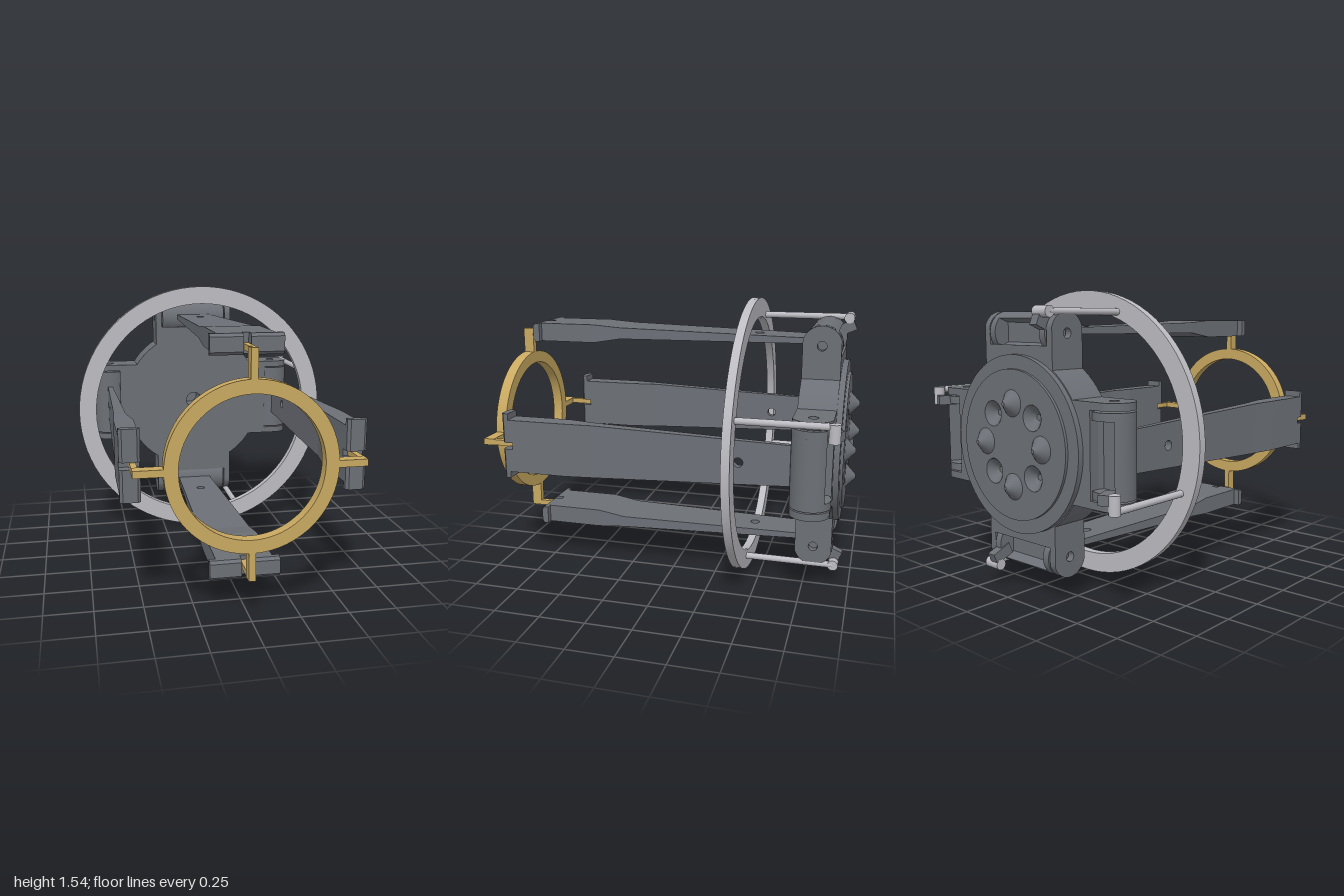
import * as THREE from 'three';
import { toCreasedNormals } from 'three/addons/utils/BufferGeometryUtils.js';

const material = (name, color, side = THREE.FrontSide) => {
  const m = new THREE.MeshStandardMaterial({ color, side });
  m.name = name;
  return m;
};

const CENTRE_Y = 0.773;
const HINGE_R = 0.555, HINGE_Z = -0.8;

function add(parent, name, geometry, mat) {
  const mesh = new THREE.Mesh(geometry, mat);
  mesh.name = name;
  parent.add(mesh);
  return mesh;
}

function circlePath(x, y, r) {
  const p = new THREE.Path();
  p.absarc(x, y, r, 0, Math.PI * 2, true);
  return p;
}

function polygon(points) {
  return new THREE.Shape(points.map(([x, y]) => new THREE.Vector2(x, y)));
}

function extrude(shape, depth, curveSegments = 24) {
  return new THREE.ExtrudeGeometry(shape, { depth, bevelEnabled: false, curveSegments });
}

// Round plate across the z axis; holes are [x, y, radius]
function disc(r, z0, z1, holes = []) {
  const s = new THREE.Shape();
  s.absarc(0, 0, r, 0, Math.PI * 2, false);
  holes.forEach(([x, y, hr]) => s.holes.push(circlePath(x, y, hr)));
  return toCreasedNormals(extrude(s, z1 - z0, 40).translate(0, 0, z0), 0.5);
}

// Profile drawn in (-z, y), extruded along x
function alongX(shape, x0, x1) {
  const g = extrude(shape, x1 - x0).rotateY(Math.PI / 2).translate(x0, 0, 0);
  return toCreasedNormals(g, 0.5);
}

// Plan drawn in (x, -z); the inner and outer faces slope from z0 to z1
function slab(shape, z0, z1, [lo0, hi0], [lo1, hi1]) {
  const g = extrude(shape, 1).rotateX(-Math.PI / 2);
  const p = g.attributes.position;
  for (let i = 0; i < p.count; i++) {
    const t = (p.getZ(i) - z0) / (z1 - z0);
    const lo = lo0 + (lo1 - lo0) * t, hi = hi0 + (hi1 - hi0) * t;
    p.setY(i, lo + (hi - lo) * p.getY(i));
  }
  g.computeVertexNormals();
  return toCreasedNormals(g, 0.3);
}

const trapezoid = (z0, w0, z1, w1) =>
  polygon([[-w0, -z0], [w0, -z0], [w1, -z1], [-w1, -z1]]);

// Arm: slotted tip, thick block, wedge and long tapered blade
function buildArm(dark) {
  const arm = new THREE.Group();
  arm.name = 'arm';
  const block = polygon([
    [-0.145, -0.82], [-0.018, -0.82], [-0.018, -0.8], [0.018, -0.8],
    [0.018, -0.82], [0.145, -0.82], [0.145, -0.5], [-0.145, -0.5],
  ]);
  add(arm, 'armBlock', slab(block, 0.5, 0.82, [0.51, 0.612], [0.51, 0.612]), dark);
  add(arm, 'armWedge', slab(trapezoid(0.5, 0.145, 0.34, 0.143), 0.5, 0.34,
    [0.51, 0.612], [0.537, 0.6]), dark);
  const blade = trapezoid(0.34, 0.143, -0.74, 0.105);
  blade.holes.push(circlePath(0, 0.435, 0.025));
  add(arm, 'armBlade', slab(blade, 0.34, -0.74, [0.537, 0.6], [0.545, 0.575]), dark);
  const tip = polygon([
    [-0.858, 0.525], [-0.845, 0.51], [-0.82, 0.51],
    [-0.82, 0.612], [-0.845, 0.612], [-0.858, 0.597],
  ]);
  add(arm, 'armTip', alongX(tip, -0.18, -0.018), dark);
  add(arm, 'armTip', alongX(tip, 0.018, 0.18), dark);
  return arm;
}

// Hinge: lug base, two rounded ears and a barrel with a pocket at the back
function buildHinge(dark) {
  const hinge = new THREE.Group();
  hinge.name = 'hinge';
  const u = -HINGE_Z;
  add(hinge, 'lugBase', new THREE.BoxGeometry(0.5, 0.19, 0.2).translate(0, 0.4, -0.8), dark);
  const ear = new THREE.Shape();
  ear.moveTo(0.7, 0.36);
  ear.lineTo(0.9, 0.36);
  ear.lineTo(0.9, HINGE_R);
  ear.absarc(u, HINGE_R, 0.105, 0.3, Math.PI - 0.3, false);
  ear.lineTo(0.7, HINGE_R);
  ear.holes.push(circlePath(u, HINGE_R, 0.025));
  const end = new THREE.Shape();
  end.absarc(u, HINGE_R, 0.105, 0, Math.PI * 2, false);
  const middle = new THREE.Shape();
  middle.absarc(u, HINGE_R, 0.105, 0.75, Math.PI * 2 - 0.75, false);
  middle.lineTo(u + 0.02, HINGE_R - 0.05);
  middle.lineTo(u + 0.02, HINGE_R + 0.05);
  for (const s of [-1, 1]) {
    const a = s * 0.212, b = s * 0.25, c = s * 0.165, d = s * 0.205;
    add(hinge, 'hingeEar', alongX(ear, Math.min(a, b), Math.max(a, b)), dark);
    add(hinge, 'barrelEnd', alongX(end, Math.min(c, d), Math.max(c, d)), dark);
  }
  add(hinge, 'barrel', alongX(middle, -0.165, 0.165), dark);
  return hinge;
}

// Push rod from the large ring to a crank on the barrel
function buildLinkage(dark, light) {
  const link = new THREE.Group();
  link.name = 'linkage';
  const crank = add(link, 'crank', new THREE.BoxGeometry(0.05, 0.06, 0.11), dark);
  crank.position.set(-0.182, 0.602, -0.895);
  crank.rotation.x = Math.atan2(0.045, 0.105);
  add(link, 'crankPin', new THREE.CylinderGeometry(0.029, 0.029, 0.095, 20)
    .rotateZ(Math.PI / 2).translate(-0.203, 0.658, -0.912), light);
  add(link, 'pushRod', new THREE.CylinderGeometry(0.018, 0.018, 0.49, 16)
    .rotateX(Math.PI / 2).translate(-0.235, 0.658, -0.665), light);
  return link;
}

// Spoke of the front ring with a pin reaching into the arm slot
function buildSpoke(gold) {
  const spoke = new THREE.Group();
  spoke.name = 'spoke';
  add(spoke, 'spokeBar', new THREE.BoxGeometry(0.035, 0.155, 0.06).translate(0, 0.485, 0.97), gold);
  add(spoke, 'spokePin', new THREE.BoxGeometry(0.03, 0.03, 0.15).translate(0, 0.548, 0.875), gold);
  return spoke;
}

export function createModel() {
  const dark = material('dark grey', 0x6c7076);
  const darkOpen = dark;
  darkOpen.side = THREE.DoubleSide;
  const light = material('light grey', 0xbcbcc2);
  const gold = material('gold', 0xc9a961);

  const model = new THREE.Group();
  model.name = 'gripper';
  const body = new THREE.Group();
  body.name = 'body';
  body.position.y = CENTRE_Y;
  model.add(body);

  // Rings
  add(body, 'largeRing', disc(0.772, -0.43, -0.385, [[0, 0, 0.667]]), light);
  add(body, 'frontRing', disc(0.42, 0.94, 1, [[0, 0, 0.352]]), gold);

  // Hub with stepped back plate and cone sockets
  const sockets = [0, 1, 2, 3].map((i) => {
    const a = Math.PI / 4 + (i * Math.PI) / 2;
    return [0.21 * Math.cos(a), 0.21 * Math.sin(a), 0.065];
  });
  add(body, 'hub', disc(0.456, -0.9, -0.7, [[0, 0, 0.05]]), dark);
  add(body, 'backFlange', disc(0.45, -0.93, -0.9, sockets), dark);
  add(body, 'backPlate', disc(0.38, -0.945, -0.93, sockets), dark);
  for (const [x, y, r] of sockets) {
    add(body, 'socket', new THREE.CylinderGeometry(0.015, r, 0.045, 24, 1, true)
      .rotateX(Math.PI / 2).translate(x, y, -0.9225), darkOpen);
  }

  // Four matching quarters around the axis
  for (let i = 0; i < 4; i++) {
    const quarter = new THREE.Group();
    quarter.name = 'quarter';
    quarter.rotation.z = (-i * Math.PI) / 2;
    quarter.add(buildArm(dark), buildHinge(dark), buildLinkage(dark, light), buildSpoke(gold));
    add(quarter, 'cone', new THREE.CylinderGeometry(0.068, 0.01, 0.055, 24)
      .rotateX(Math.PI / 2).translate(0, 0.21, -0.9725), dark);
    body.add(quarter);
  }
  return model;
}
